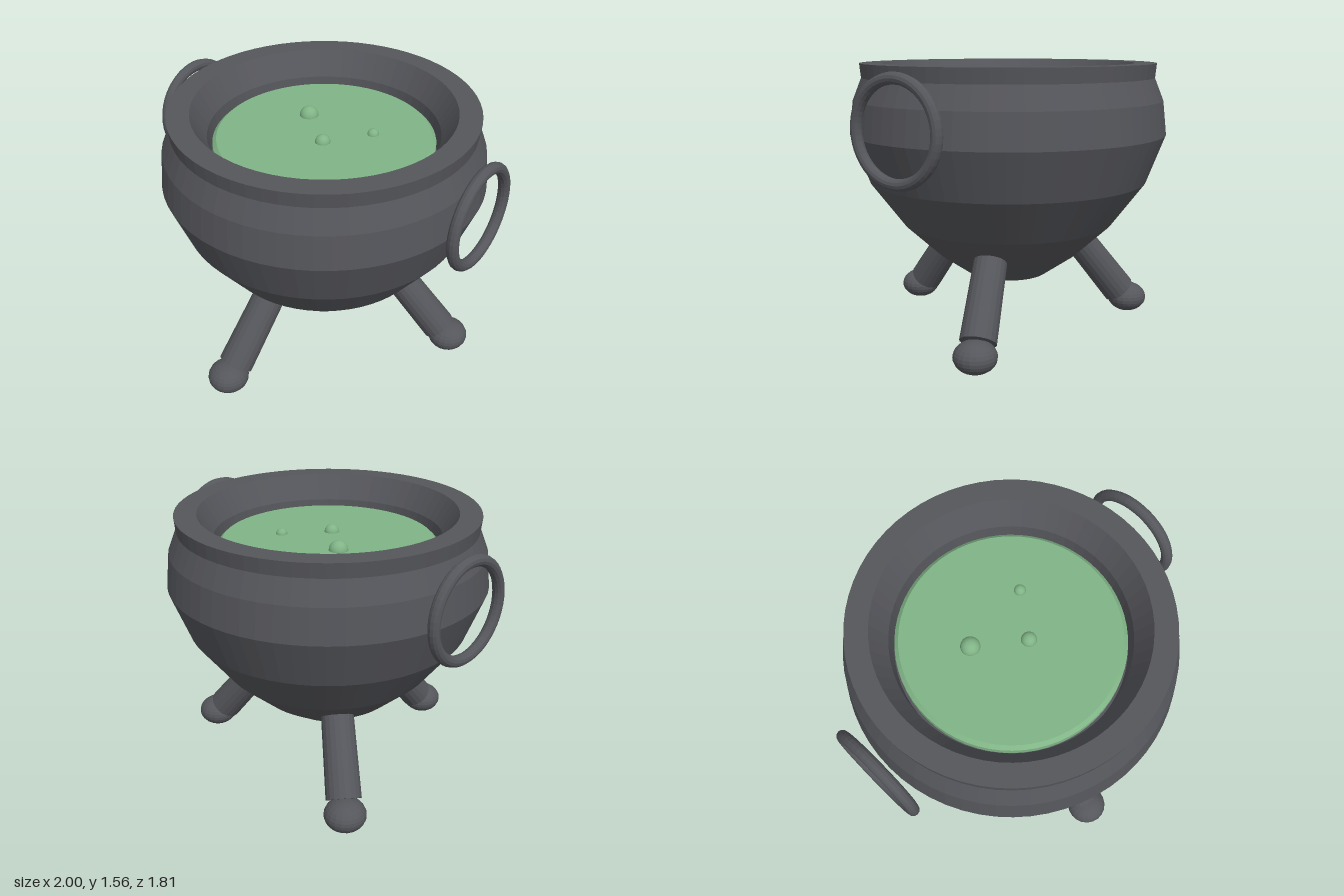
import * as THREE from 'three';

const iron = new THREE.MeshStandardMaterial({ color: 0x55565b, flatShading: true });
const green = new THREE.MeshStandardMaterial({ color: 0x80b486 });

function add(parent, name, geometry, material, x = 0, y = 0, z = 0) {
  const mesh = new THREE.Mesh(geometry, material);
  mesh.name = name;
  mesh.position.set(x, y, z);
  parent.add(mesh);
  return mesh;
}

export function createModel() {
  const model = new THREE.Group();
  model.name = 'cauldron';

  // Pot: outside from the base up, over the flat rim and down the inner wall
  const profile = [
    [0, 0.285], [0.1, 0.295], [0.23, 0.33], [0.41, 0.455], [0.61, 0.64],
    [0.8, 0.893], [0.903, 1.165], [0.882, 1.355], [0.832, 1.48], [0.84, 1.56],
    [0.717, 1.56], [0.635, 1.42], [0.62, 1.3], [0, 1.25],
  ].map(([r, y]) => new THREE.Vector2(r, y));
  add(model, 'pot', new THREE.LatheGeometry(profile, 64), iron);

  // Brew with a narrow sloping edge, and bubbles on its surface
  const surface = 1.395;
  const brew = [[0, 1.33], [0.61, 1.33], [0.61, 1.375], [0.588, surface], [0, surface]]
    .map(([r, y]) => new THREE.Vector2(r, y));
  const brewMaterial = green.clone();
  brewMaterial.flatShading = true;
  add(model, 'brew', new THREE.LatheGeometry(brew, 64), brewMaterial);
  for (const [x, z, r] of [[-0.19, -0.11, 0.053], [0.22, -0.15, 0.032], [0.05, 0.08, 0.042]]) {
    add(model, 'bubble', new THREE.SphereGeometry(r, 20, 14), green, x, surface, z);
  }

  // Ring handles on both sides
  for (const side of [1, -1]) {
    const name = side > 0 ? 'leftHandle' : 'rightHandle';
    const ring = add(model, name, new THREE.TorusGeometry(0.26, 0.031, 12, 48), iron, side * 0.969, 1.25, 0);
    ring.rotation.y = Math.PI / 2;
  }

  // Three splayed legs with flattened ball feet
  const top = new THREE.Vector3(0.3, 0.68, 0);
  const bottom = new THREE.Vector3(0.73, 0.143, 0);
  const axis = top.clone().sub(bottom);
  for (let i = 0; i < 3; i++) {
    const leg = new THREE.Group();
    leg.name = 'leg';
    leg.rotation.y = THREE.MathUtils.degToRad(22 + i * 120);
    const mid = top.clone().add(bottom).multiplyScalar(0.5);
    const shaft = add(leg, 'legShaft', new THREE.CylinderGeometry(0.088, 0.1, axis.length(), 20), iron, mid.x, mid.y, 0);
    shaft.quaternion.setFromUnitVectors(new THREE.Vector3(0, 1, 0), axis.clone().normalize());
    const foot = add(leg, 'foot', new THREE.SphereGeometry(0.118, 20, 14), iron, 0.79, 0.088, 0);
    foot.scale.y = 0.75;
    model.add(leg);
  }
  return model;
}
